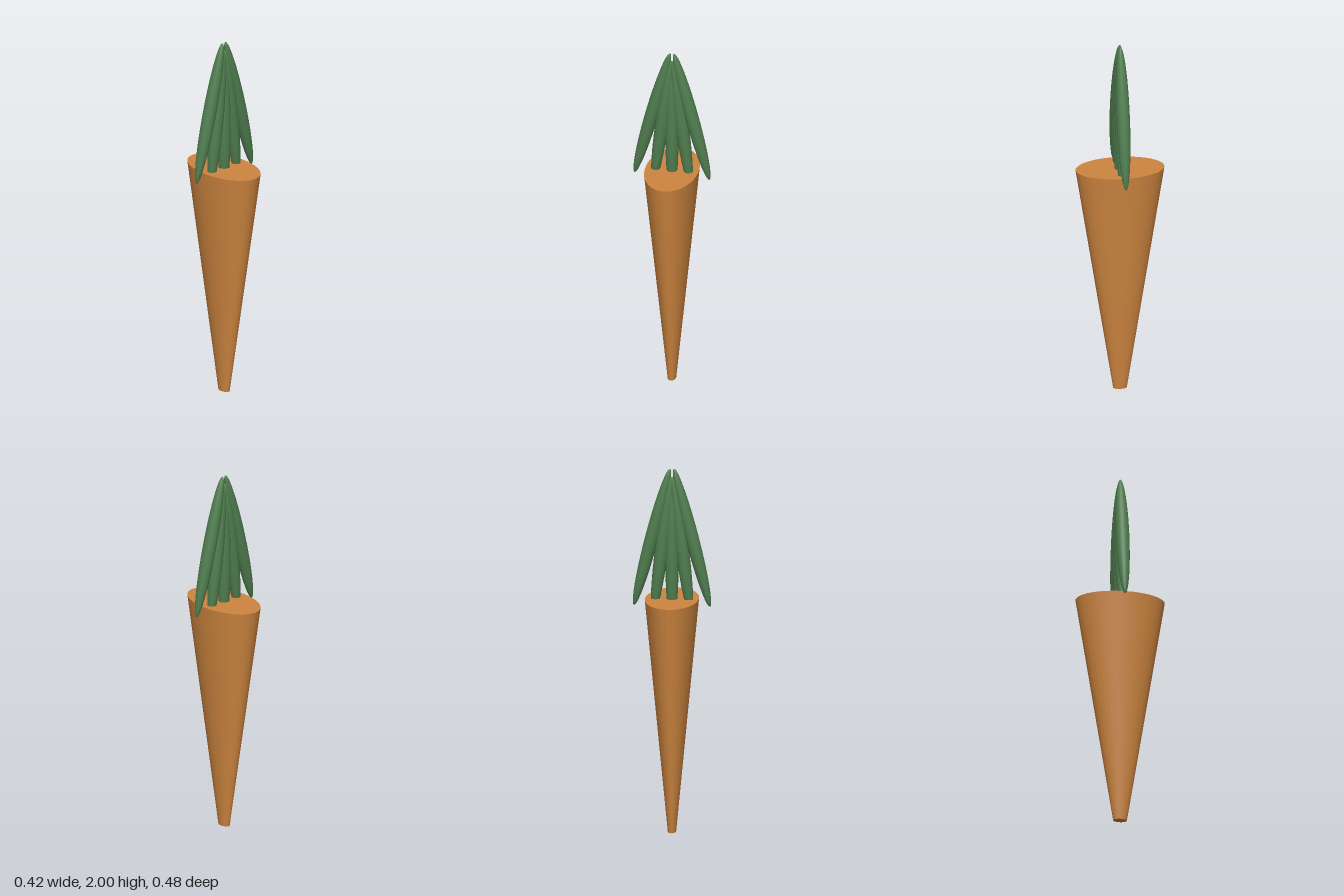
import * as THREE from 'three';

export function createModel() {
  const model = new THREE.Group();
  const orange = new THREE.MeshStandardMaterial({ color: 0xcd853f });
  orange.name = 'carrot orange';
  const green = new THREE.MeshStandardMaterial({ color: 0x4f7d4f });
  green.name = 'leaf green';

  // Tapered root, an oval truncated cone that is deeper than wide
  const height = 1.285;
  const root = new THREE.Mesh(new THREE.CylinderGeometry(0.24, 0.037, height, 28), orange);
  root.name = 'root';
  root.scale.x = 0.6;
  root.position.y = height / 2;
  model.add(root);

  // Fan of five slender leaves meeting at the tip
  const leaves = new THREE.Group();
  leaves.name = 'leaves';
  const leafGeometry = new THREE.SphereGeometry(1, 28, 20);
  for (let i = -2; i <= 2; i++) {
    const leaf = new THREE.Mesh(leafGeometry, green);
    leaf.name = `leaf${i + 3}`;
    leaf.scale.set(0.036, 0.39, 0.036);
    leaf.position.set(i * 0.0537, 1.515 + Math.abs(i) * 0.054, 0);
    leaf.rotation.z = i * 0.125;
    leaves.add(leaf);
  }
  model.add(leaves);

  return model;
}
